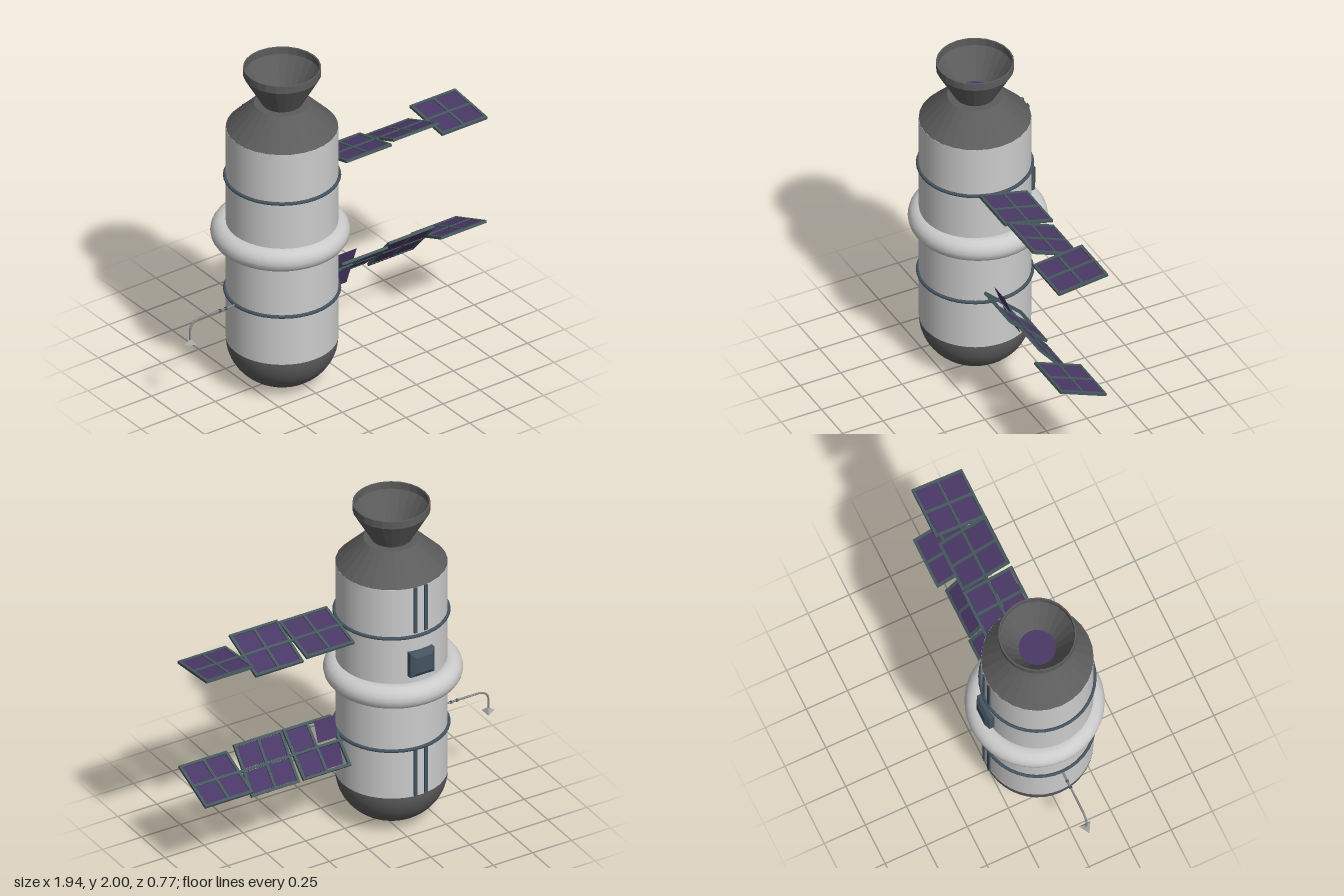
import * as THREE from 'three';

const mat = (color, extra = {}) => new THREE.MeshStandardMaterial({ color, ...extra });
const light = mat(0xcccccc);
const dark = mat(0x5c5c5c, { flatShading: true, side: THREE.DoubleSide });
const darkSmooth = mat(0x5c5c5c);
const slate = mat(0x445460);
const frameMat = mat(0x465a5e);
const purple = mat(0x4a3866, { side: THREE.DoubleSide });

const CX = -0.31, CZ = 0.017, R = 0.309; // hull axis and radius

function add(parent, name, geometry, material, x = 0, y = 0, z = 0) {
  const mesh = new THREE.Mesh(geometry, material);
  mesh.name = name;
  mesh.position.set(x, y, z);
  parent.add(mesh);
  return mesh;
}

const lathe = (points, sides) =>
  new THREE.LatheGeometry(points.map(([r, y]) => new THREE.Vector2(r, y)), sides);

// Square panel: framed two-by-two cells, twisted about the x axis
function solarPanel(tilt, looseInner) {
  const panel = new THREE.Group();
  panel.name = 'solarPanel';
  const size = 0.308, bar = 0.016, thick = 0.016;
  for (const i of [-1, 0, 1]) {
    const offset = i * (size - bar) / 2;
    add(panel, 'frameBar', new THREE.BoxGeometry(size, thick, bar), frameMat, 0, 0, offset);
    add(panel, 'frameBar', new THREE.BoxGeometry(bar, thick, size), frameMat, offset, 0, 0);
  }
  const cell = new THREE.BoxGeometry(0.126, 0.009, 0.126);
  for (const sx of [-1, 1]) {
    if (looseInner && sx < 0) continue;
    for (const sz of [-1, 1]) add(panel, 'solarCell', cell, purple, sx * 0.073, 0, sz * 0.073);
  }
  panel.rotation.x = -THREE.MathUtils.degToRad(tilt);
  return panel;
}

// Row of three panels on a shaft
function solarArray(name, y, tilts, looseInner) {
  const array = new THREE.Group();
  array.name = name;
  array.position.set(0, y, CZ);
  const shaft = add(array, 'shaft', new THREE.CylinderGeometry(0.009, 0.009, 0.98, 10), frameMat, 0.46);
  shaft.rotation.z = Math.PI / 2;
  tilts.forEach((tilt, i) => {
    const panel = solarPanel(tilt, looseInner && i === 0);
    panel.position.x = 0.17 + i * 0.3225;
    array.add(panel);
  });
  if (looseInner) {
    // Inner cells swung out of their frame
    for (const s of [-1, 1]) {
      const a = THREE.MathUtils.degToRad(70), d = s * 0.078;
      const cell = add(array, 'swungCell', new THREE.PlaneGeometry(0.13, 0.126), purple,
        0.088, d * Math.sin(a), d * Math.cos(a) + 0.01);
      cell.rotation.x = Math.PI / 2 - a;
    }
  }
  return array;
}

export function createModel() {
  const model = new THREE.Group();

  // Hull, centred on its own axis
  const hull = new THREE.Group();
  hull.name = 'hull';
  hull.position.set(CX, 0, CZ);
  model.add(hull);
  add(hull, 'tank', new THREE.CylinderGeometry(R, R, 1.345, 40), light, 0, 0.9475);
  const dome = add(hull, 'bottomDome',
    new THREE.SphereGeometry(R, 40, 14, 0, Math.PI * 2, Math.PI / 2, Math.PI / 2), darkSmooth, 0, 0.275);
  dome.scale.y = 0.275 / R;
  add(hull, 'shoulder', new THREE.CylinderGeometry(0.155, R, 0.155, 28), dark, 0, 1.6975);

  // Open nozzle with inner wall and floor
  add(hull, 'nozzle', lathe([[0.11, 1.77], [0.215, 1.955], [0.215, 2], [0.207, 2],
    [0.207, 1.957], [0.102, 1.785]], 24), dark);
  const floor = add(hull, 'nozzleFloor', new THREE.CircleGeometry(0.104, 24), purple, 0, 1.787);
  floor.rotation.x = -Math.PI / 2;

  // Collar and hoops
  const collar = add(hull, 'collar', new THREE.TorusGeometry(0.314, 0.071, 16, 40), light, 0, 0.95, -CZ);
  collar.rotation.x = Math.PI / 2;
  for (const y of [0.585, 1.31]) {
    const hoop = add(hull, 'hoop', new THREE.TorusGeometry(0.315, 0.01, 8, 40), slate, 0, y);
    hoop.rotation.x = Math.PI / 2;
  }

  // Rear hatch: plate with a bevelled cover
  const hatch = new THREE.Group();
  hatch.name = 'hatch';
  hatch.position.set(0, 1.138, -R);
  hull.add(hatch);
  add(hatch, 'hatchPlate', new THREE.BoxGeometry(0.155, 0.155, 0.05), slate, 0, 0, 0.005);
  const bevel = new THREE.CylinderGeometry(0.05 * Math.SQRT2, 0.0775 * Math.SQRT2, 0.018, 4, 1)
    .rotateY(Math.PI / 4).rotateX(-Math.PI / 2);
  add(hatch, 'hatchCover', bevel, mat(0x445460, { flatShading: true }), 0, 0, -0.029);

  // Paired rails on the back
  for (const [y0, y1] of [[0.28, 0.575], [1.33, 1.62]]) {
    for (const s of [-1, 1]) {
      const a = s * 0.105;
      const rail = add(hull, 'rail', new THREE.BoxGeometry(0.02, y1 - y0, 0.016), slate,
        Math.sin(a) * R, (y0 + y1) / 2, -Math.cos(a) * R);
      rail.rotation.y = -a;
    }
  }

  // Solar arrays on the left side
  model.add(solarArray('upperSolarArray', 1.31, [14, 22, -6], false));
  model.add(solarArray('lowerSolarArray', 0.568, [43, 50, 22], true));

  // Bent antenna with a three-sided tip
  const antenna = new THREE.Group();
  antenna.name = 'antenna';
  antenna.position.z = CZ;
  model.add(antenna);
  const path = new THREE.CurvePath();
  const v = (x, y) => new THREE.Vector3(x, y, 0);
  path.add(new THREE.LineCurve3(v(-0.6, 0.585), v(-0.865, 0.585)));
  path.add(new THREE.QuadraticBezierCurve3(v(-0.865, 0.585), v(-0.932, 0.58), v(-0.932, 0.52)));
  path.add(new THREE.LineCurve3(v(-0.932, 0.52), v(-0.932, 0.462)));
  add(antenna, 'antennaRod', new THREE.TubeGeometry(path, 40, 0.006, 8), mat(0x8a8a8a));
  for (const x of [-0.69, -0.73]) {
    const sleeve = add(antenna, 'sleeve', new THREE.CylinderGeometry(0.009, 0.009, 0.012, 10), slate, x, 0.585);
    sleeve.rotation.z = Math.PI / 2;
  }
  const tip = add(antenna, 'antennaTip', new THREE.ConeGeometry(0.041, 0.032, 3),
    mat(0xaaaaaa, { flatShading: true }), -0.93, 0.461);
  tip.rotation.y = -Math.PI / 2;

  return model;
}
